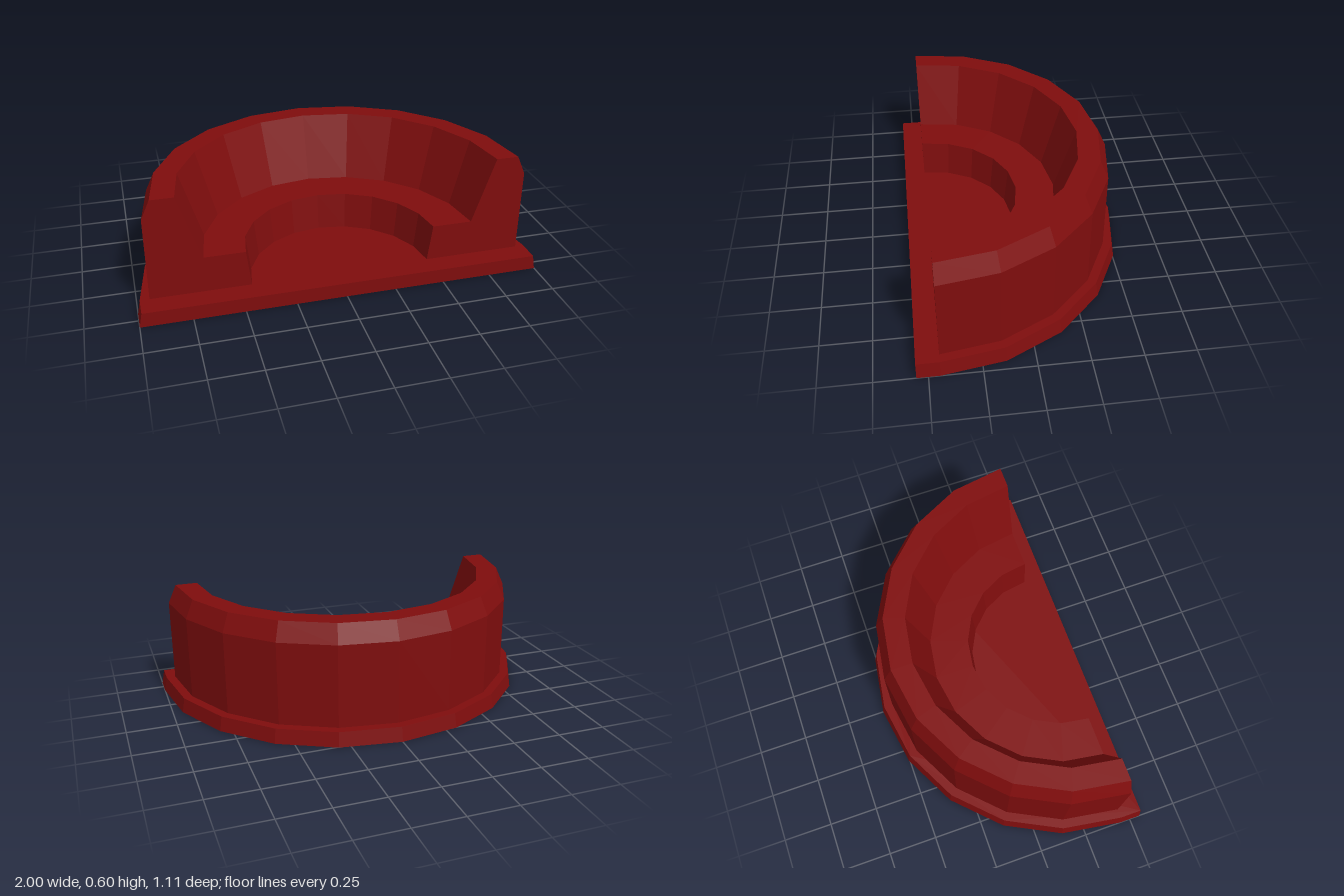
import * as THREE from 'three';

const SEGMENTS = 10;     // facets around the half circle
const CENTRE_Z = 0.445;  // axis of the half circle
const FRONT_Z = 0.555;
const BASE_H = 0.075;

const material = new THREE.MeshStandardMaterial({ color: 0x7f0d0d, flatShading: true });

function addMesh(parent, name, geometry) {
  const mesh = new THREE.Mesh(geometry, material);
  mesh.name = name;
  mesh.position.z = CENTRE_Z;
  parent.add(mesh);
}

// Half-round slab, its curved rim tapering slightly towards the top
function baseGeometry() {
  const front = CENTRE_Z - FRONT_Z;
  const outline = [new THREE.Vector2(-1, front), new THREE.Vector2(1, front)];
  for (let i = 0; i <= SEGMENTS; i++) {
    const a = (i / SEGMENTS) * Math.PI;
    outline.push(new THREE.Vector2(Math.cos(a), Math.sin(a)));
  }
  const geometry = new THREE.ExtrudeGeometry(new THREE.Shape(outline), { depth: BASE_H, bevelEnabled: false });
  geometry.rotateX(-Math.PI / 2);
  const p = geometry.attributes.position;
  for (let i = 0; i < p.count; i++) {
    if (p.getY(i) < BASE_H / 2) continue;
    p.setX(i, p.getX(i) * 0.986);
    if (p.getZ(i) < 0) p.setZ(i, p.getZ(i) * 0.986);
  }
  geometry.computeVertexNormals();
  return geometry;
}

export function createModel() {
  const model = new THREE.Group();
  model.name = 'curvedBench';
  addMesh(model, 'base', baseGeometry());

  // Cross-section: outer wall, chamfer, top rim, sloping backrest, seat, seat front
  const profile = [
    [0.94, BASE_H], [0.94, 0.5], [0.897, 0.595], [0.785, 0.595],
    [0.675, 0.262], [0.473, 0.262], [0.45, BASE_H],
  ].map(([x, y]) => new THREE.Vector2(x, y));

  const bench = new THREE.Group();
  bench.name = 'bench';
  model.add(bench);
  addMesh(bench, 'seatAndBackrest',
    new THREE.LatheGeometry(profile, SEGMENTS, Math.PI / 2, Math.PI).toNonIndexed());

  // Flat ends closing the half ring
  for (const [name, side] of [['leftEnd', 1], ['rightEnd', -1]]) {
    const points = profile.map((v) => new THREE.Vector2(v.x * side, v.y));
    addMesh(bench, name, new THREE.ShapeGeometry(new THREE.Shape(points)));
  }
  return model;
}
